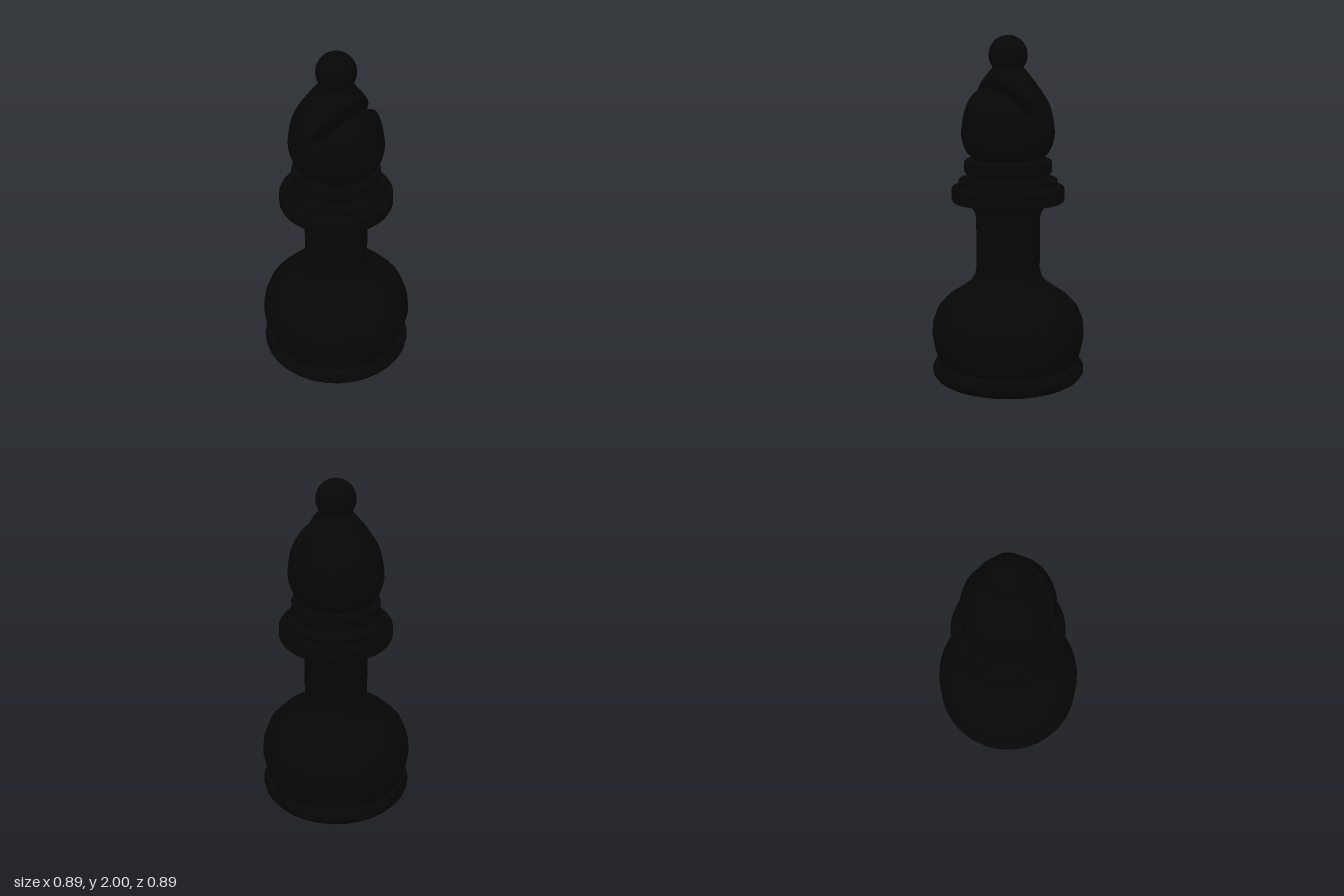
import * as THREE from 'three';

const material = new THREE.MeshStandardMaterial({ color: 0x060606 });
const V2 = (a) => new THREE.Vector2(a[0], a[1]);

function part(name, geometry) {
  const mesh = new THREE.Mesh(geometry, material);
  mesh.name = name;
  return mesh;
}

// Turned part from [radius, height] points
const turned = (name, points) => part(name, new THREE.LatheGeometry(points.map(V2), 32));

// Flat disc with a rounded rim
function disc(name, r, y0, y1, b) {
  const points = [[0, y0]];
  for (let k = 0; k <= 8; k++) {
    const a = -Math.PI / 2 + (k < 5 ? k : k - 1) * Math.PI / 7;
    points.push([r - b + b * Math.cos(a), (Math.sin(a) < 0 ? y0 + b : y1 - b) + b * Math.sin(a)]);
  }
  points.push([0, y1]);
  return turned(name, points);
}

// Head profile, sampled finely
const headProfile = new THREE.SplineCurve([
  [0.195, 1.29], [0.247, 1.345], [0.271, 1.41], [0.274, 1.475], [0.249, 1.595],
  [0.19, 1.695], [0.116, 1.79], [0.07, 1.84],
].map(V2)).getPoints(42);

function headRadius(y) {
  for (let i = 1; i < headProfile.length; i++) {
    const a = headProfile[i - 1], b = headProfile[i];
    if (y >= a.y && y <= b.y) return a.x + (b.x - a.x) * (y - a.y) / (b.y - a.y);
  }
  return -1;
}

// Slanted slot, described in the (z, y) plane
const slot = { z: 0.033, y: 1.54, dz: 0.525, dy: 0.851, half: 0.023, bevel: 0.028 };
const slotPoint = (across, along) => ({
  z: slot.z + slot.dz * along + slot.dy * across,
  y: slot.y + slot.dy * along - slot.dz * across,
});

// How far up a slot wall stays inside the head
function wallLength(across, inset) {
  let lo = 0, hi = 0.5;
  for (let k = 0; k < 40; k++) {
    const t = (lo + hi) / 2, p = slotPoint(across, t);
    if (headRadius(p.y) - inset > Math.abs(p.z)) lo = t; else hi = t;
  }
  return lo;
}

// U-shaped slot outline: down the front wall, round the end, up the back wall
function slotOutline(half, steps, frontTop, backTop) {
  const out = [];
  for (let k = steps; k > 0; k--) out.push(slotPoint(half, frontTop * Math.sin(k / steps * Math.PI / 2)));
  for (let k = 0; k <= 8; k++) {
    const a = k * Math.PI / 8;
    out.push(slotPoint(half * Math.cos(a), -half * Math.sin(a)));
  }
  for (let k = 1; k <= steps; k++) out.push(slotPoint(-half, backTop * Math.sin(k / steps * Math.PI / 2)));
  return out;
}

// Keeps the part of a polygon on one side of a line in the (z, y) plane
function clip(poly, side) {
  const out = [];
  poly.forEach((a, i) => {
    const b = poly[(i + 1) % poly.length], sa = side(a), sb = side(b);
    if (sa >= 0) out.push(a);
    if ((sa > 0 && sb < 0) || (sa < 0 && sb > 0)) {
      const t = sa / (sa - sb);
      out.push({ p: a.p.clone().lerp(b.p, t), n: a.n.clone().lerp(b.n, t).normalize() });
    }
  });
  return out;
}

// Outer shell of the head with the slot opening removed
function headShell() {
  const lathe = new THREE.LatheGeometry(headProfile, 96).toNonIndexed();
  const edge = slotOutline(slot.half + slot.bevel, 1, 0.5, 0.5);
  const pos = [], nor = [];
  const emit = (poly) => {
    for (let k = 2; k < poly.length; k++) {
      for (const v of [poly[0], poly[k - 1], poly[k]]) { pos.push(...v.p.toArray()); nor.push(...v.n.toArray()); }
    }
  };
  const { position, normal } = lathe.attributes;
  for (let f = 0; f < position.count; f += 3) {
    let poly = [0, 1, 2].map((k) => ({
      p: new THREE.Vector3().fromBufferAttribute(position, f + k),
      n: new THREE.Vector3().fromBufferAttribute(normal, f + k),
    }));
    for (let e = 1; e < edge.length && poly.length > 2; e++) {
      const a = edge[e - 1], b = edge[e];
      const side = (v) => -(b.y - a.y) * (v.p.z - a.z) + (b.z - a.z) * (v.p.y - a.y);
      emit(clip(poly, side));
      poly = clip(poly, (v) => -side(v));
    }
  }
  const g = new THREE.BufferGeometry();
  g.setAttribute('position', new THREE.Float32BufferAttribute(pos, 3));
  g.setAttribute('normal', new THREE.Float32BufferAttribute(nor, 3));
  return g;
}

// Slot walls with softly rounded lips; the outermost column tucks under the shell
function slotWalls() {
  const columns = [];
  for (const sign of [-1, 1]) {
    for (let j = 0; j <= 5; j++) {
      const k = sign < 0 ? j - 1 : 4 - j, a = Math.max(k, 0) * Math.PI / 8;
      const half = slot.half + slot.bevel * (1 - Math.sin(a)) + (k < 0 ? 0.006 : 0);
      const inset = slot.bevel * (1 - Math.cos(a)) + (k < 0 ? 0.001 : 0);
      const line = slotOutline(half, 20, wallLength(half, inset), wallLength(-half, inset));
      columns.push(line.map(({ z, y }) => {
        const r = headRadius(y) - inset;
        return [sign * Math.sqrt(Math.max(0, r * r - z * z)), y, z];
      }));
    }
  }
  const rows = columns[0].length, index = [];
  for (let j = 0; j < columns.length - 1; j++) {
    for (let i = 0; i < rows - 1; i++) {
      const a = j * rows + i, b = a + rows;
      index.push(a, b, a + 1, b, b + 1, a + 1);
    }
  }
  const g = new THREE.BufferGeometry();
  g.setAttribute('position', new THREE.Float32BufferAttribute(columns.flat(2), 3));
  g.setIndex(index);
  g.computeVertexNormals();
  return g;
}

export function createModel() {
  const model = new THREE.Group();
  model.name = 'chessBishop';

  // Foot and bulbous base
  model.add(turned('footBottom', [[0, 0], [0.4, 0]]));
  model.add(turned('footRing', [
    [0.4, 0], [0.425, 0.015], [0.442, 0.037], [0.447, 0.06], [0.44, 0.085], [0.425, 0.103], [0.395, 0.112],
  ]));
  model.add(turned('base', [
    [0.395, 0.1], [0.408, 0.12], [0.43, 0.18], [0.447, 0.27], [0.44, 0.345], [0.41, 0.425], [0.35, 0.49],
    [0.28, 0.535], [0.22, 0.58], [0.195, 0.615], [0.185, 0.66],
  ]));

  // Stem flaring into the collar
  model.add(turned('stem', [[0.185, 0.66], [0.185, 0.95], [0.19, 0.98], [0.205, 1.01], [0.225, 1.05]]));

  // Collars
  model.add(disc('wideCollar', 0.328, 1.045, 1.15, 0.03));
  model.add(disc('collarStep', 0.285, 1.14, 1.19, 0.015));
  model.add(turned('collarNeck', [[0.17, 1.18], [0.17, 1.22]]));
  model.add(disc('upperCollar', 0.254, 1.21, 1.3, 0.025));

  // Slotted head, slightly narrower across than deep
  const head = new THREE.Group();
  head.name = 'head';
  head.add(part('headShell', headShell()), part('headSlot', slotWalls()));
  head.scale.x = 0.945;
  model.add(head);

  // Finial ball
  const ball = part('finial', new THREE.SphereGeometry(0.111, 32, 20));
  ball.position.y = 1.889;
  model.add(ball);
  return model;
}
